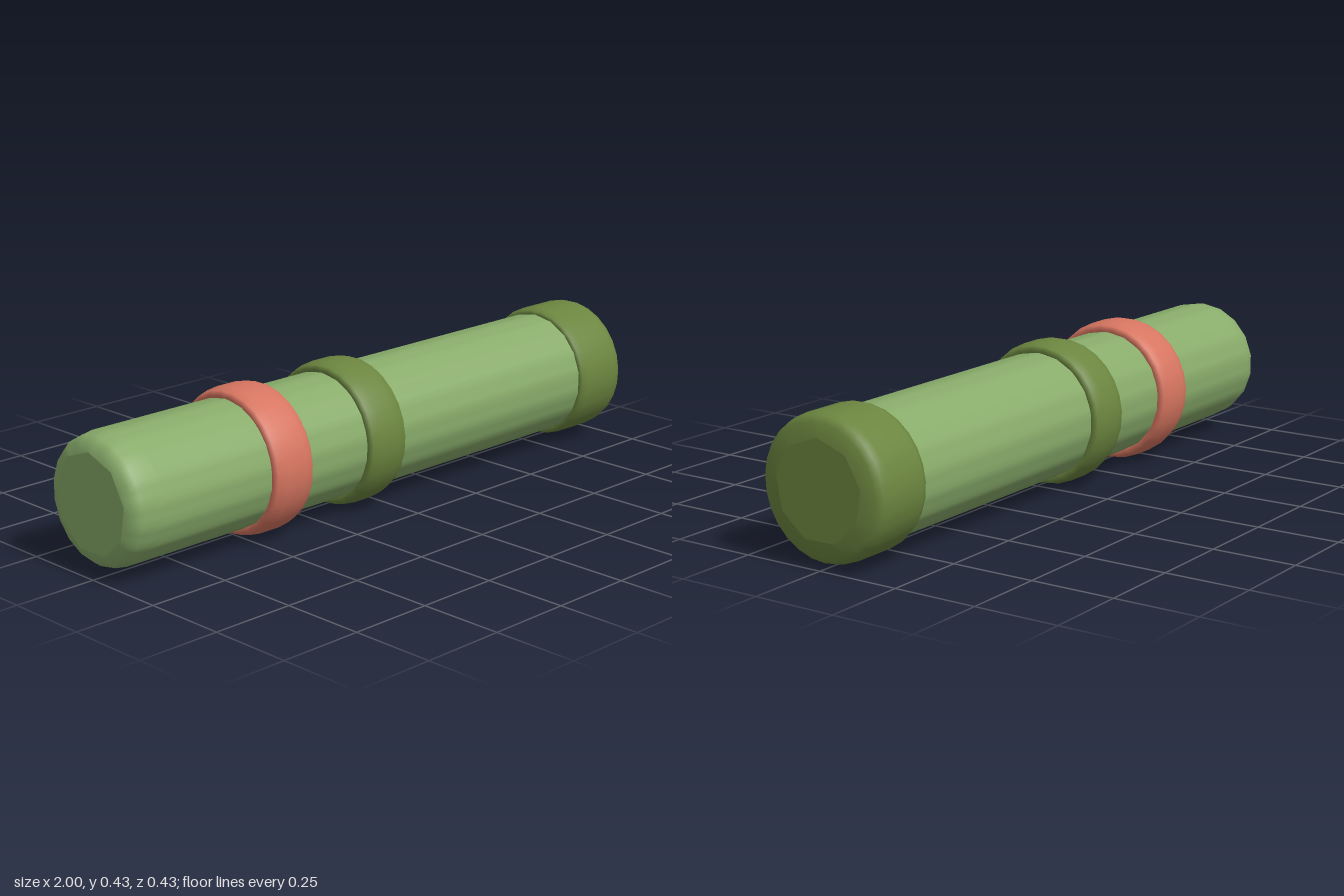
import * as THREE from 'three';

const N = 54;         // samples round the axis, shared by 9, 18 and 27 sided sections
const AXIS_Y = 0.216;

// Radius of a regular polygon at angle t from the top
function polygonRadius(r, sides, phase, t) {
  const step = (2 * Math.PI) / sides;
  const a = (((t - phase) % step) + step) % step;
  return (r * Math.cos(step / 2)) / Math.cos(a - step / 2);
}

// Lofts polygon sections [x, radius, sides, vertexAtBottom] along x
function loft(sections, closed) {
  const pos = [], idx = [];
  const addRing = ([x, r, sides, bottom]) => {
    const start = pos.length / 3;
    for (let i = 0; i < N; i++) {
      const t = (i / N) * 2 * Math.PI;
      const q = polygonRadius(r, sides, bottom ? Math.PI : 0, t);
      pos.push(x, q * Math.cos(t), q * Math.sin(t));
    }
    return start;
  };
  const starts = sections.map(addRing);
  for (let s = 0; s < starts.length - 1; s++) {
    for (let i = 0; i < N; i++) {
      const j = (i + 1) % N, a = starts[s], b = starts[s + 1];
      idx.push(a + i, a + j, b + i, a + j, b + j, b + i);
    }
  }
  // Flat end faces with their own vertices
  if (closed) {
    for (const [section, right] of [[sections[0], false], [sections[sections.length - 1], true]]) {
      const a = addRing(section), c = pos.length / 3;
      pos.push(section[0], 0, 0);
      for (let i = 0; i < N; i++) {
        const j = (i + 1) % N;
        if (right) idx.push(c, a + i, a + j);
        else idx.push(c, a + j, a + i);
      }
    }
  }
  const geo = new THREE.BufferGeometry();
  geo.setAttribute('position', new THREE.Float32BufferAttribute(pos, 3));
  geo.setIndex(idx);
  geo.computeVertexNormals();
  return geo;
}

export function createModel() {
  const group = new THREE.Group();
  const lightGreen = new THREE.MeshStandardMaterial({ color: 0x88ab6a });
  const darkGreen = new THREE.MeshStandardMaterial({ color: 0x6b853f });
  const red = new THREE.MeshStandardMaterial({ color: 0xd67560 });

  const add = (name, geo, material, x = 0) => {
    const mesh = new THREE.Mesh(geo, material);
    mesh.name = name;
    mesh.position.set(x, AXIS_Y, 0);
    group.add(mesh);
  };

  // Long tube with a rounded left end
  add('tube', loft([
    [-1, 0.145, 9, false],
    [-0.992, 0.168, 18, false],
    [-0.972, 0.183, 18, false],
    [-0.935, 0.189, 18, false],
    [-0.9, 0.189, 18, false],
    [0.85, 0.189, 18, false],
    [0.9, 0.189, 18, false],
  ], true), lightGreen);

  // Rounded cap on the right end
  add('endCap', loft([
    [0.81, 0.165, 27, true],
    [0.795, 0.188, 27, true],
    [0.8, 0.199, 27, true],
    [0.82, 0.206, 27, true],
    [0.955, 0.206, 27, true],
    [0.978, 0.2, 27, true],
    [0.993, 0.183, 27, true],
    [1, 0.144, 9, false],
  ], true), darkGreen);

  // Bulging bands round the tube
  const half = [[0.04, 0.165], [0.066, 0.182], [0.075, 0.197], [0.065, 0.208], [0.035, 0.216]];
  const band = [
    ...half.map(([x, r]) => [-x, r, 27, true]),
    ...half.slice().reverse().map(([x, r]) => [x, r, 27, true]),
  ];
  add('redBand', loft(band, false), red, -0.447);
  add('greenBand', loft(band, false), darkGreen, -0.077);

  return group;
}
